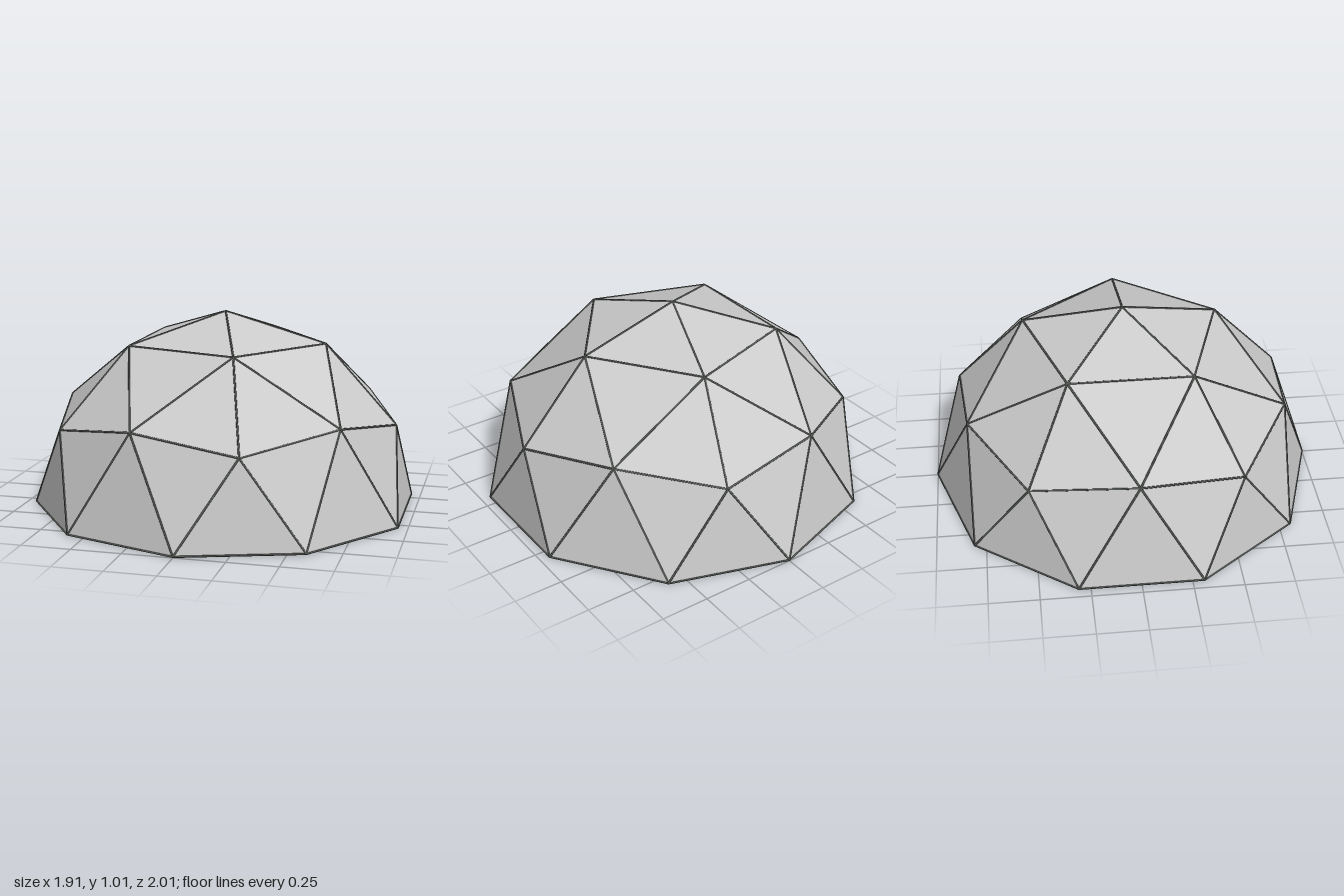
import * as THREE from 'three';

const STRUT_RADIUS = 0.005;

// Point on the unit sphere at a given height and angle around the y axis
function onSphere(y, degrees) {
  const r = Math.sqrt(1 - y * y), a = THREE.MathUtils.degToRad(degrees);
  return new THREE.Vector3(r * Math.cos(a), y, r * Math.sin(a));
}

// Thin bar joining two hubs
function makeStrut(a, b, material) {
  const along = b.clone().sub(a);
  const geometry = new THREE.CylinderGeometry(STRUT_RADIUS, STRUT_RADIUS, along.length(), 6);
  const strut = new THREE.Mesh(geometry, material);
  strut.position.copy(a).add(b).multiplyScalar(0.5);
  strut.quaternion.setFromUnitVectors(new THREE.Vector3(0, 1, 0), along.normalize());
  strut.name = 'strut';
  return strut;
}

export function createModel() {
  const model = new THREE.Group();
  model.name = 'geodesicDome';
  const panelMaterial = new THREE.MeshStandardMaterial({
    color: 0xcccccc, flatShading: true, side: THREE.DoubleSide,
  });
  const strutMaterial = new THREE.MeshStandardMaterial({ color: 0x555a55 });

  const corners = [];
  const struts = new THREE.Group();
  struts.name = 'struts';
  const panel = (a, b, c) => corners.push(a, c, b);
  const strut = (a, b) => struts.add(makeStrut(a, b, strutMaterial));

  // Five identical sectors around the apex
  const apex = new THREE.Vector3(0, 1, 0);
  for (let k = 0; k < 5; k++) {
    const t = 72 * k;
    const upper = onSphere(0.8507, t), upperNext = onSphere(0.8507, t + 72);
    const hub = onSphere(0.4472, t), hubNext = onSphere(0.4472, t + 72);
    const middle = onSphere(0.5257, t + 36);
    const base0 = onSphere(0, t - 18), base1 = onSphere(0, t + 18), base2 = onSphere(0, t + 54);

    // Cap and upper band
    panel(apex, upper, upperNext);
    panel(upper, middle, upperNext);
    panel(upper, hub, middle);
    panel(upperNext, middle, hubNext);
    // Lower band, open underneath
    panel(hub, base0, base1);
    panel(hub, base1, middle);
    panel(middle, base1, base2);
    panel(middle, base2, hubNext);

    // Frame
    [[apex, upper], [upper, upperNext], [upper, hub], [upper, middle], [upperNext, middle],
      [hub, middle], [middle, hubNext], [hub, base0], [hub, base1], [middle, base1],
      [middle, base2], [base0, base1], [base1, base2]].forEach(([a, b]) => strut(a, b));
  }

  const geometry = new THREE.BufferGeometry().setFromPoints(corners);
  geometry.computeVertexNormals();
  const panels = new THREE.Mesh(geometry, panelMaterial);
  panels.name = 'panels';
  model.add(panels, struts);
  return model;
}
